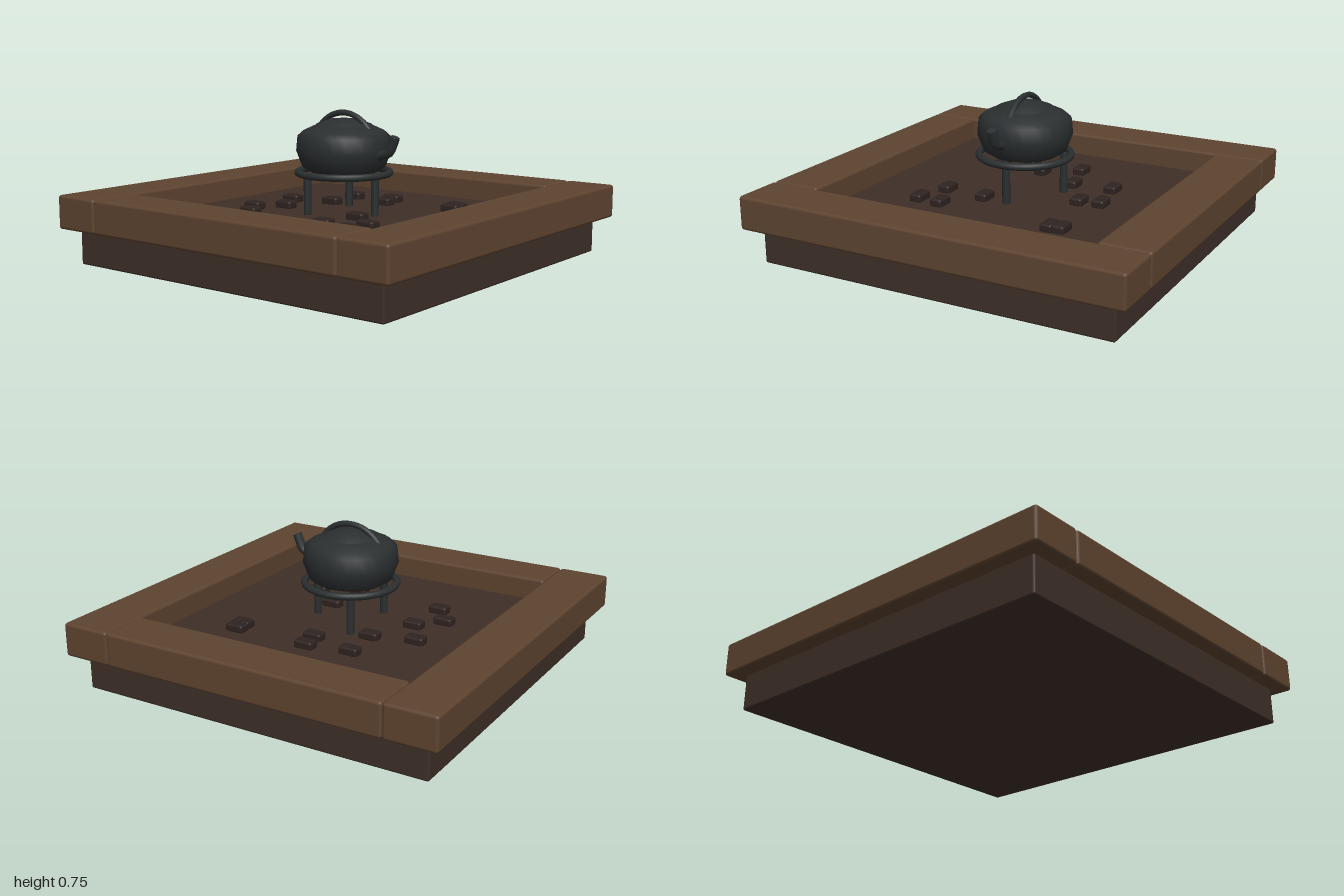
import * as THREE from 'three';
import { RoundedBoxGeometry } from 'three/addons/geometries/RoundedBoxGeometry.js';

const paint = (color) => new THREE.MeshStandardMaterial({ color });

export function createModel() {
  const model = new THREE.Group();
  const wood = paint(0x5e4430);
  const earth = paint(0x3e2f28);
  const charcoal = paint(0x2e2321);
  const iron = paint(0x2b2f30);

  function add(name, geometry, material, x = 0, y = 0, z = 0, parent = model) {
    const mesh = new THREE.Mesh(geometry, material);
    mesh.name = name;
    mesh.position.set(x, y, z);
    parent.add(mesh);
    return mesh;
  }
  const block = (w, h, d, r) => new RoundedBoxGeometry(w, h, d, 2, r);
  const lathe = (points) =>
    new THREE.LatheGeometry(points.map(([r, y]) => new THREE.Vector2(r, y)), 28);

  // Hearth base, its top is the sunken floor
  add('hearthBase', block(1.85, 0.235, 1.85, 0.01), earth, 0, 0.1175, 0);

  // Wooden frame: two full-length side rails, two shorter rails between them
  const frame = new THREE.Group();
  frame.name = 'frame';
  model.add(frame);
  for (const s of [-1, 1]) {
    add(s > 0 ? 'leftRail' : 'rightRail', block(0.26, 0.17, 2, 0.015), wood, s * 0.87, 0.265, 0, frame);
    add(s > 0 ? 'frontRail' : 'backRail', block(1.475, 0.17, 0.255, 0.015), wood, 0, 0.265, s * 0.8725, frame);
  }

  // Scattered charcoal pieces, as x and z
  const coals = [
    [-0.225, -0.385], [0, -0.425], [0.02, -0.315], [0.41, -0.415], [0.415, -0.355],
    [-0.43, -0.11], [-0.21, -0.17], [-0.325, 0.07], [-0.435, 0.19], [-0.34, 0.325],
    [0.16, 0.36], [0.36, 0.28], [0.345, 0.41], [0.185, 0.13],
  ];
  const coalGeometry = block(0.1, 0.045, 0.065, 0.012);
  for (const [x, z] of coals) add('coal', coalGeometry, charcoal, x, 0.25, z);

  // Iron trivet: ring on three legs
  const trivet = new THREE.Group();
  trivet.name = 'trivet';
  model.add(trivet);
  add('trivetRing', new THREE.TorusGeometry(0.232, 0.018, 10, 40), iron, 0, 0.44, 0, trivet)
    .rotation.x = Math.PI / 2;
  for (let i = 0; i < 3; i++) {
    const a = (i * Math.PI * 2) / 3;
    add('trivetLeg', new THREE.CylinderGeometry(0.02, 0.02, 0.21, 10), iron,
      Math.cos(a) * 0.195, 0.335, Math.sin(a) * 0.195, trivet);
  }

  // Kettle: body, lid, handle and bent spout
  const kettle = new THREE.Group();
  kettle.name = 'kettle';
  model.add(kettle);
  add('kettleBody', lathe([
    [0, 0.445], [0.17, 0.445], [0.21, 0.47], [0.24, 0.55], [0.233, 0.625], [0.205, 0.65], [0.14, 0.68], [0, 0.69],
  ]), iron, 0, 0, 0, kettle);
  add('kettleLid', lathe([
    [0.14, 0.665], [0.14, 0.683], [0.075, 0.707], [0, 0.713],
  ]), iron, 0, 0, 0, kettle);
  add('kettleHandle', new THREE.TorusGeometry(0.195, 0.015, 8, 28, Math.PI), iron, 0, 0.545, 0, kettle);

  const path = new THREE.CatmullRomCurve3([
    new THREE.Vector3(0.17, 0.525, 0.008), new THREE.Vector3(0.23, 0.54, 0.008),
    new THREE.Vector3(0.285, 0.56, 0.008), new THREE.Vector3(0.3, 0.583, 0.008),
    new THREE.Vector3(0.322, 0.637, 0.008),
  ]);
  add('kettleSpout', new THREE.TubeGeometry(path, 12, 0.024, 10), iron, 0, 0, 0, kettle);
  const tip = add('spoutTip', new THREE.CircleGeometry(0.024, 10), iron, 0.322, 0.637, 0.008, kettle);
  tip.quaternion.setFromUnitVectors(new THREE.Vector3(0, 0, 1), path.getTangentAt(1));

  return model;
}
